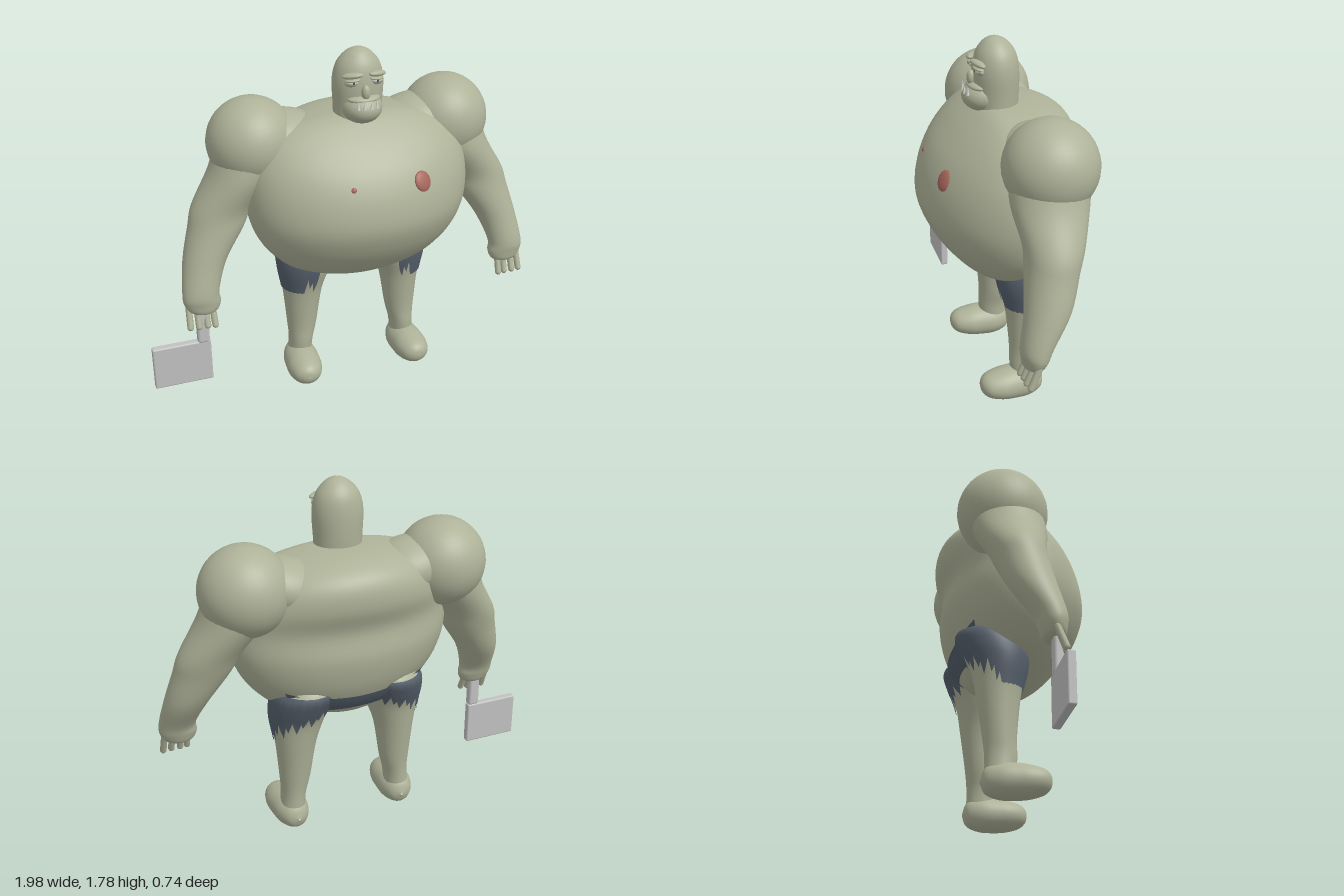
import * as THREE from 'three';
import { RoundedBoxGeometry } from 'three/addons/geometries/RoundedBoxGeometry.js';

const mat = (name, color, side = THREE.FrontSide) => {
  const m = new THREE.MeshStandardMaterial({ color, side });
  m.name = name;
  return m;
};

// Smooth surface through oval rings [y, centreX, centreZ, radiusX, radiusFront, radiusBack], lowest first.
function ovalSurface(rings) {
  const centres = new THREE.CatmullRomCurve3(rings.map(r => new THREE.Vector3(r[1], r[0], r[2])), false, 'catmullrom', 0.5);
  const radii = new THREE.CatmullRomCurve3(rings.map(r => new THREE.Vector3(r[3], r[4], r[5] ?? r[4])), false, 'catmullrom', 0.5);
  const last = rings.length - 1;
  return (t, a, grow = 0) => {
    const c = centres.getPoint(t / last), r = radii.getPoint(t / last);
    const s = Math.sin(a);
    return [
      c.x + Math.cos(a) * (Math.max(r.x, 0.001) + grow), c.y,
      c.z + s * (Math.max(s > 0 ? r.y : r.z, 0.001) + grow)];
  };
}

// Mesh of the part of an oval surface between two angles and two edge curves.
function patch(surface, a0, a1, low, high, nu, nv, grow = 0) {
  const closed = Math.abs(a1 - a0 - Math.PI * 2) < 1e-6;
  const cols = closed ? nu : nu + 1, pos = [], idx = [];
  for (let j = 0; j <= nv; j++) {
    for (let i = 0; i < cols; i++) {
      const a = a0 + (a1 - a0) * i / nu;
      pos.push(...surface(low(a, i) + (high(a, i) - low(a, i)) * j / nv, a, grow));
    }
  }
  for (let j = 0; j < nv; j++) {
    for (let i = 0; i < nu; i++) {
      const k = (i + 1) % cols, p = j * cols, q = p + cols;
      idx.push(p + i, q + i, p + k, p + k, q + i, q + k);
    }
  }
  const g = new THREE.BufferGeometry();
  g.setAttribute('position', new THREE.Float32BufferAttribute(pos, 3));
  g.setIndex(idx);
  g.computeVertexNormals();
  return g;
}

const loft = (rings, nu = 40) =>
  patch(ovalSurface(rings), 0, Math.PI * 2, () => 0, () => rings.length - 1, nu, (rings.length - 1) * 5);

function add(parent, name, geometry, material, p = [0, 0, 0], scale = [1, 1, 1], rot = [0, 0, 0]) {
  const m = new THREE.Mesh(geometry, material);
  m.name = name;
  m.position.set(...p);
  m.scale.set(...scale);
  m.rotation.set(...rot);
  parent.add(m);
  return m;
}

export function createModel() {
  const skin = mat('skin', 0xaeb298);
  const cloth = mat('cloth', 0x56606c, THREE.DoubleSide);
  const metal = mat('metal', 0xc2c1c1);
  const nipple = mat('nipple', 0xa5665b);
  const bone = mat('bone', 0xcfcfc8);
  const dark = mat('pupil', 0x4a4c46);
  const ball = new THREE.SphereGeometry(1, 36, 24);

  const model = new THREE.Group();
  model.name = 'bruteFigure';
  const body = new THREE.Group();
  body.name = 'body';
  body.position.x = 0.077;
  model.add(body);

  // Torso with a heavy belly and a rounded upper back
  const torsoRings = [
    [0.625, 0, 0, 0.01, 0.01], [0.64, 0, 0, 0.18, 0.10, 0.15], [0.70, 0, 0, 0.35, 0.19, 0.22],
    [0.78, 0, 0, 0.445, 0.265, 0.275], [0.88, 0, 0, 0.512, 0.33, 0.315], [1.0, 0, 0, 0.55, 0.37, 0.335],
    [1.13, 0, 0, 0.555, 0.352, 0.322], [1.25, 0, 0, 0.53, 0.296, 0.362], [1.35, 0, 0, 0.47, 0.21, 0.36],
    [1.42, 0, 0, 0.36, 0.13, 0.31], [1.46, 0, 0, 0.2, 0.07, 0.2], [1.475, 0, 0, 0.01, 0.01]];
  add(body, 'torso', loft(torsoRings, 64), skin);
  add(body, 'leftNipple', ball, nipple, [0.218, 1.195, 0.295], [0.045, 0.05, 0.016], [-0.45, 0.3, 0.3]);
  add(body, 'rightNipple', ball, nipple, [-0.127, 1.208, 0.311], [0.013, 0.013, 0.007], [-0.45, -0.2, 0]);

  // Seat of the shorts across the back
  const back = -Math.PI / 2;
  add(body, 'shortsSeat', patch(ovalSurface(torsoRings), back - 0.8, back + 0.8,
    () => 2, a => 3.1 + 0.8 * (a - back) ** 2, 24, 8, 0.009), cloth);

  // Head and face
  add(body, 'head', loft([
    [1.40, 0, -0.005, 0.115, 0.10], [1.50, 0, -0.005, 0.117, 0.105, 0.108], [1.62, 0, -0.005, 0.122, 0.108],
    [1.70, 0, -0.005, 0.104, 0.093], [1.75, 0, -0.003, 0.065, 0.06], [1.772, 0, 0, 0.028, 0.027],
    [1.778, 0, 0, 0.001, 0.001]]), skin);
  add(body, 'jaw', ball, skin, [0, 1.505, 0.05], [0.097, 0.076, 0.104]);
  add(body, 'upperLip', ball, skin, [0, 1.555, 0.075], [0.08, 0.022, 0.055]);
  add(body, 'nose', ball, skin, [0, 1.592, 0.11], [0.021, 0.036, 0.02]);
  const fang = new THREE.ConeGeometry(0.009, 0.04, 10);
  for (const x of [-0.045, -0.017, 0.017, 0.045]) {
    add(body, 'tooth', fang, bone, [x, 1.543, 0.15 - Math.abs(x) * 0.3]);
  }

  // Foot lies along z: ring position is z and ring depth is height
  const footGeo = loft([
    [-0.17, 0, -0.08, 0.005, 0.005], [-0.145, 0, -0.085, 0.055, 0.06], [-0.08, 0, -0.085, 0.085, 0.083],
    [0, 0, -0.085, 0.09, 0.083, 0.085], [0.06, 0, -0.086, 0.088, 0.076], [0.12, 0, -0.088, 0.068, 0.058],
    [0.148, 0, -0.09, 0.035, 0.032], [0.156, 0, -0.09, 0.002, 0.002]], 32).rotateX(Math.PI / 2);
  const legRings = [
    [0.10, 0.29, -0.08, 0.062, 0.07], [0.20, 0.282, -0.075, 0.062, 0.075], [0.30, 0.273, -0.08, 0.077, 0.08],
    [0.50, 0.265, -0.085, 0.102, 0.105], [0.63, 0.252, -0.082, 0.135, 0.132], [0.72, 0.24, -0.10, 0.148, 0.155],
    [0.80, 0.22, -0.13, 0.145, 0.15], [0.86, 0.2, -0.15, 0.08, 0.08]];
  const armRings = [
    [0.543, 0.80, 0.06, 0.01, 0.01], [0.556, 0.805, 0.06, 0.065, 0.045], [0.60, 0.81, 0.055, 0.09, 0.06],
    [0.66, 0.812, 0.045, 0.09, 0.073], [0.80, 0.772, -0.012, 0.107, 0.103], [0.95, 0.70, -0.05, 0.138, 0.12],
    [1.05, 0.66, -0.07, 0.148, 0.135], [1.20, 0.56, -0.085, 0.16, 0.175], [1.33, 0.50, -0.10, 0.17, 0.18]];
  const fingerGeo = new THREE.CapsuleGeometry(0.016, 0.10, 6, 12);

  // Torn hem: level over the front and outside, rising in points toward the back
  const hem = (a, i) => 3.13 + Math.max(0, -0.1 - a) * 0.55
    + (a < -0.1 || a > 1.45 ? [0, 0.35, 0.75, 0.2, 0.5][i % 5] : 0.03 * (i % 2));

  for (const [side, s] of [['left', 1], ['right', -1]]) {
    const half = new THREE.Group();
    half.name = side + 'Side';
    half.scale.x = s;
    body.add(half);

    // Arm
    add(half, 'shoulder', ball, skin, [0.493, 1.337, -0.108], [0.216, 0.216, 0.216]);
    add(half, 'shoulderSlope', ball, skin, [0.31, 1.335, -0.10], [0.23, 0.135, 0.18], [0, 0, 0.25]);
    add(half, 'arm', loft(armRings), skin);
    for (const [x, z] of [[0.765, 0.085], [0.80, 0.08], [0.842, 0.08], [0.882, 0.075]]) {
      add(half, 'finger', fingerGeo, skin, [x, 0.535, z], [1, 1, 1], [-0.38, 0, (x - 0.82) * 0.6]);
    }

    // Leg and torn trouser leg
    add(half, 'leg', loft(legRings), skin);
    add(half, 'foot', footGeo, skin, [0.295, 0, 0], [1, 1, 1], [0, 0.06, 0]);
    add(half, 'shortsLeg', patch(ovalSurface(legRings), -2.7, 1.85, hem, () => 6.2, 46, 12, 0.007), cloth);

    // Eye and brow
    add(half, 'eyeSocket', ball, skin, [0.058, 1.638, 0.083], [0.036, 0.021, 0.018]);
    add(half, 'eyeball', ball, bone, [0.058, 1.641, 0.09], [0.026, 0.015, 0.018]);
    add(half, 'pupil', ball, dark, [0.058, 1.641, 0.106], [0.006, 0.007, 0.003]);
    add(half, 'eyelid', ball, skin, [0.058, 1.651, 0.092], [0.036, 0.009, 0.02], [0, 0.3, -0.1]);
    add(half, 'brow', ball, skin, [0.06, 1.674, 0.094], [0.05, 0.014, 0.021], [0, 0.4, -0.12]);
  }

  // Cleaver held in the right hand
  const cleaver = new THREE.Group();
  cleaver.name = 'cleaver';
  model.add(cleaver);
  add(cleaver, 'blade', new RoundedBoxGeometry(0.29, 0.23, 0.038, 3, 0.008), metal, [-0.855, 0.275, 0.065]);
  add(cleaver, 'handle', new RoundedBoxGeometry(0.06, 0.18, 0.046, 3, 0.014), metal, [-0.745, 0.475, 0.071]);

  return model;
}
